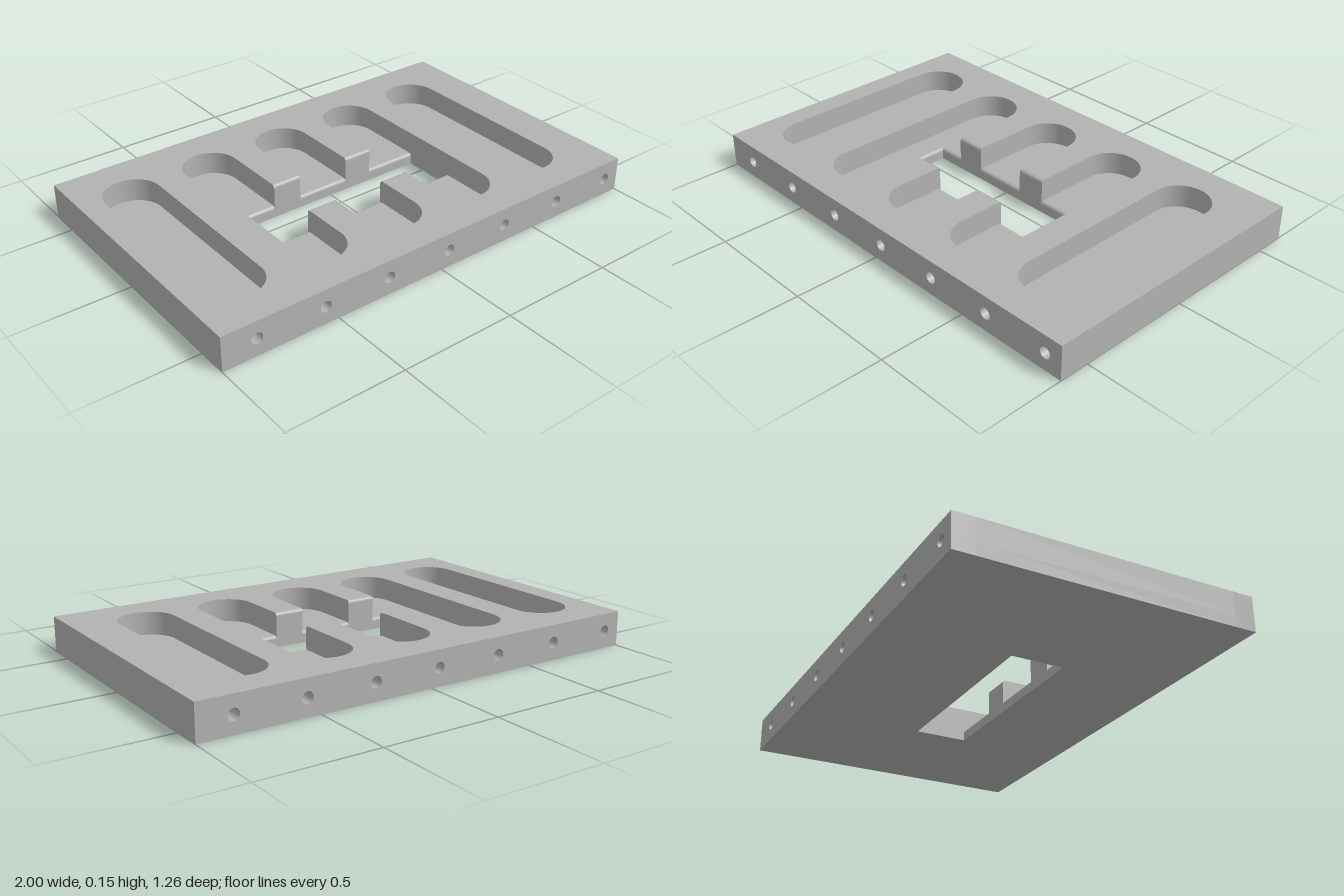
import * as THREE from 'three';

const W = 1, D = 0.63, H = 0.15;        // half width, half depth, height
const FLOOR = 0.05;                     // thickness left under the pockets
const CORE = 0.54;                      // half depth of the core between drilled rails
const SLOTS = [-0.78, -0.41, -0.04, 0.33, 0.70], SR = 0.12, SZ = 0.49;
const WIN = { x0: -0.41, x1: 0.45, z0: -0.077, z1: 0.155 };
const R = 0.015;                        // rounding on the window's upper edges

const steel = new THREE.MeshStandardMaterial({ color: 0xb2b2b2 });
steel.name = 'plain grey';

function rectangle(PathType, x0, y0, x1, y1) {
  return new PathType([[x0, y0], [x1, y0], [x1, y1], [x0, y1]].map(p => new THREE.Vector2(...p)));
}

// Long slot with round ends
function slotPath(x) {
  const p = new THREE.Path();
  p.absarc(x, SZ - SR, SR, 0, Math.PI);
  p.absarc(x, -(SZ - SR), SR, Math.PI, Math.PI * 2);
  p.closePath();
  return p;
}

// Three middle slots joined by the window
function joinedSlotsPath() {
  const p = new THREE.Path();
  const mid = SLOTS.slice(1, 4);
  for (const x of [...mid].reverse()) {
    p.lineTo(x + SR, WIN.z1 + R);
    p.absarc(x, SZ - SR, SR, 0, Math.PI);
    p.lineTo(x - SR, WIN.z1 + R);
  }
  for (const x of mid) {
    p.lineTo(x - SR, WIN.z0 - R);
    p.absarc(x, -(SZ - SR), SR, Math.PI, Math.PI * 2);
    p.lineTo(x + SR, WIN.z0 - R);
  }
  p.curves.shift(); // drop the lead-in line from the origin
  p.closePath();
  return p;
}

export function createModel() {
  const group = new THREE.Group();
  const add = (name, geometry) => {
    const mesh = new THREE.Mesh(geometry, steel);
    mesh.name = name;
    group.add(mesh);
    return mesh;
  };

  // Horizontal layer drawn in x and z, raised from y0 to y1
  const layer = (name, holes, y0, y1) => {
    const shape = rectangle(THREE.Shape, -W, -CORE, W, CORE);
    shape.holes.push(...holes);
    const g = new THREE.ExtrudeGeometry(shape, { depth: y1 - y0, bevelEnabled: false, curveSegments: 24 });
    // shape y is z, so flip it before laying the layer flat
    g.rotateX(-Math.PI / 2).translate(0, y0, 0);
    return add(name, g);
  };
  // Laying flat turns shape y into -z, so the paths below are mirrored in z
  const mirrorZ = path => new THREE.Path(path.getPoints(24).map(p => new THREE.Vector2(p.x, -p.y)));

  layer('floor', [rectangle(THREE.Path, WIN.x0 - R, -WIN.z1 - R, WIN.x1, -WIN.z0 + R)], 0, FLOOR);
  layer('pocketedTop', [slotPath(SLOTS[0]), joinedSlotsPath(), slotPath(SLOTS[4])].map(mirrorZ), FLOOR, H);

  // Rails with a row of blind holes; the back one is the front one turned round
  const rail = rectangle(THREE.Shape, -W, 0, W, H);
  for (let i = 0; i < 7; i++) {
    const hole = new THREE.Path();
    hole.absarc(-0.853 + i * 0.296, H / 2, 0.024, 0, Math.PI * 2);
    rail.holes.push(hole);
  }
  const railGeometry = new THREE.ExtrudeGeometry(rail, { depth: D - CORE, bevelEnabled: false, curveSegments: 20 });
  railGeometry.translate(0, 0, CORE);
  add('frontRail', railGeometry);
  add('backRail', railGeometry).rotation.y = Math.PI;

  // Strip with one rounded upper edge, running along its own z
  const strip = (name, length, y0, y1) => {
    const s = new THREE.Shape();
    s.moveTo(0, y0);
    s.lineTo(R, y0);
    s.lineTo(R, y1 - R);
    s.absarc(0, y1 - R, R, 0, Math.PI / 2);
    s.closePath();
    const g = new THREE.ExtrudeGeometry(s, { depth: length, bevelEnabled: false, curveSegments: 6 });
    g.translate(0, 0, -length / 2);
    return add(name, g);
  };
  const wallStrips = (name, x0, x1, y0, y1) => {
    for (const [side, z, turn] of [['Back', WIN.z0 - R, -1], ['Front', WIN.z1 + R, 1]]) {
      const m = strip(name + side, x1 - x0, y0, y1);
      m.position.set((x0 + x1) / 2, 0, z);
      m.rotation.y = turn * Math.PI / 2;
    }
  };

  // Rounded window edges on the floor and on the two rib ends
  wallStrips('floorEdge', WIN.x0 - R, WIN.x1, 0, FLOOR);
  strip('floorEdgeRight', WIN.z1 - WIN.z0 + 2 * R, 0, FLOOR)
    .position.set(WIN.x0 - R, 0, (WIN.z0 + WIN.z1) / 2);
  for (const i of [1, 2]) wallStrips('ribEnd', SLOTS[i] + SR, SLOTS[i + 1] - SR, FLOOR - R, H);

  return group;
}
